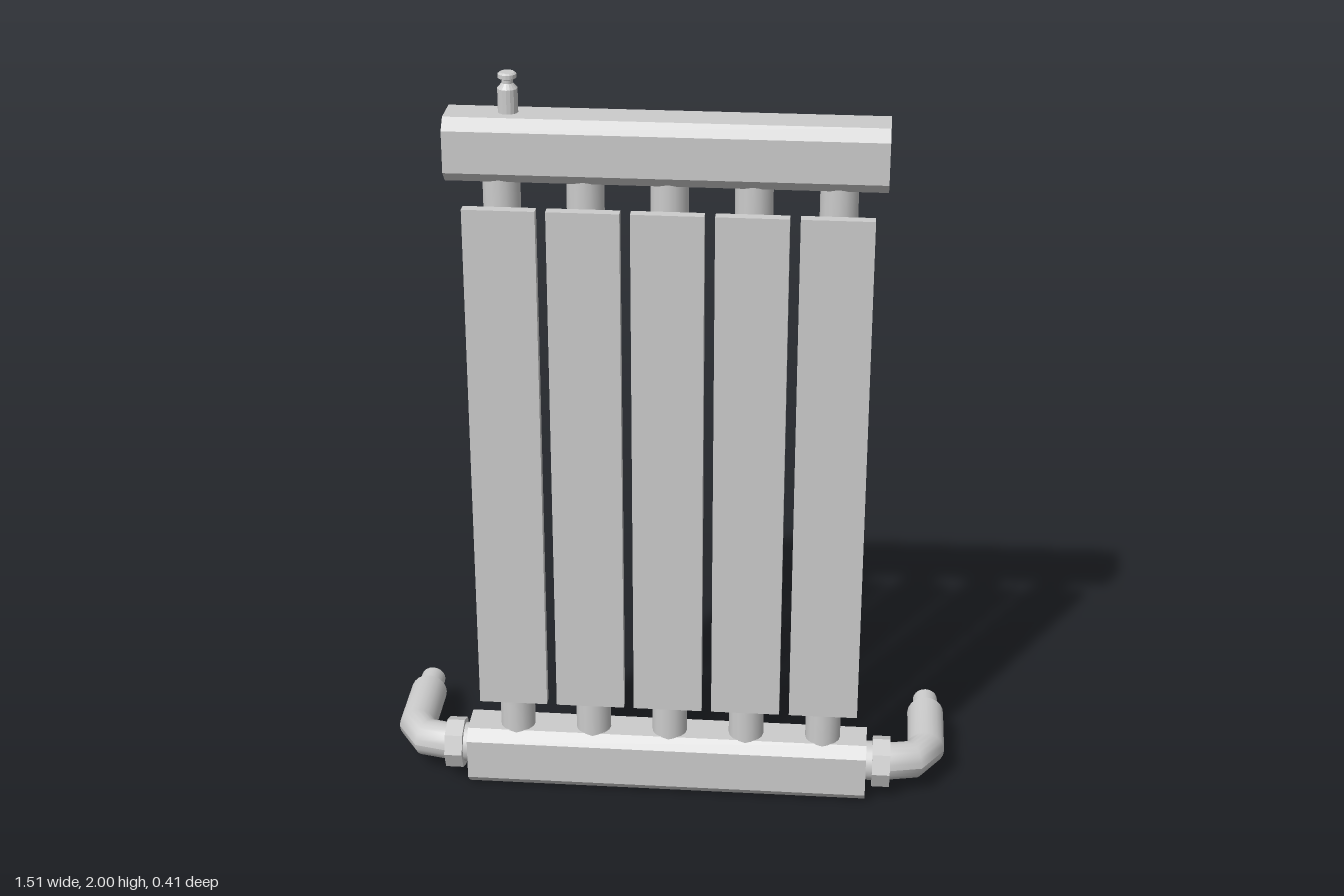
import * as THREE from 'three';

const grey = new THREE.MeshStandardMaterial({ color: 0xcccccc });
const flat = new THREE.MeshStandardMaterial({ color: 0xcccccc, flatShading: true });
const open = new THREE.MeshStandardMaterial({ color: 0xcccccc, side: THREE.DoubleSide });

function add(parent, name, geometry, material, x = 0, y = 0, z = 0) {
  const mesh = new THREE.Mesh(geometry, material);
  mesh.name = name;
  mesh.position.set(x, y, z);
  parent.add(mesh);
  return mesh;
}

// Octagonal bar along x with chamfered long edges
function headerGeometry(length, height, depth, c) {
  const w = depth / 2, h = height / 2;
  const shape = new THREE.Shape([
    [-w + c, -h], [w - c, -h], [w, -h + c], [w, h - c],
    [w - c, h], [-w + c, h], [-w, h - c], [-w, -h + c],
  ].map(([x, y]) => new THREE.Vector2(x, y)));
  return new THREE.ExtrudeGeometry(shape, { depth: length, bevelEnabled: false })
    .translate(0, 0, -length / 2).rotateY(Math.PI / 2);
}

// Pipe swept through mitred rings, each given by its outer and inner point in the xz plane
function mitredPipe(rings, radius, sides) {
  const pos = [], index = [];
  rings.forEach(([ox, oz, ix, iz], r) => {
    for (let s = 0; s <= sides; s++) {
      const a = (s / sides) * Math.PI * 2, c = Math.cos(a) / 2;
      pos.push((ox + ix) / 2 + (ox - ix) * c, radius * Math.sin(a), (oz + iz) / 2 + (oz - iz) * c);
      if (r > 0 && s < sides) {
        const q = r * (sides + 1) + s, p = q - sides - 1;
        index.push(p, p + 1, q, p + 1, q + 1, q);
      }
    }
  });
  const g = new THREE.BufferGeometry();
  g.setAttribute('position', new THREE.Float32BufferAttribute(pos, 3));
  g.setIndex(index);
  g.computeVertexNormals();
  return g;
}

// Valve nut, elbow and open pipe stub on one side (1 = left, -1 = right)
function connection(side) {
  const g = new THREE.Group();
  g.name = side > 0 ? 'leftConnection' : 'rightConnection';
  const along = (r, len, sides) => new THREE.CylinderGeometry(r, r, len, sides).rotateZ(Math.PI / 2);
  add(g, 'collar', along(0.053, 0.04, 20), grey, side * 0.55, 0.09, 0.12);
  add(g, 'nut', along(0.07, 0.048, 8), flat, side * 0.581, 0.09, 0.122);
  const bend = [
    [0.6, 0.171, 0.6, 0.069],
    [0.692, 0.15, 0.643, 0.06],
    [0.753, 0.055, 0.653, 0.04],
    [0.753, -0.135, 0.653, -0.135],
  ].map(([ox, oz, ix, iz]) => [side * ox, oz, side * ix, iz]);
  add(g, 'elbow', mitredPipe(bend, 0.05, 20), open, 0, 0.09, 0);
  add(g, 'elbowEnd', new THREE.CircleGeometry(0.05, 20).rotateY(Math.PI), grey, side * 0.703, 0.09, -0.135);
  add(g, 'pipeStub', new THREE.CylinderGeometry(0.034, 0.034, 0.07, 20, 1, true).rotateX(Math.PI / 2),
    open, side * 0.703, 0.09, -0.17);
  return g;
}

export function createModel() {
  const model = new THREE.Group();
  model.name = 'radiator';

  // Top and bottom headers
  add(model, 'bottomHeader', headerGeometry(1.08, 0.168, 0.15, 0.028), flat, 0, 0.084, 0.125);
  add(model, 'topHeader', headerGeometry(1.08, 0.162, 0.15, 0.028), flat, 0, 1.819, 0.125);

  // Upright tubes, each with a flat panel in front
  for (let i = 0; i < 5; i++) {
    const x = 0.007 + (i - 2) * 0.207;
    add(model, 'tube', new THREE.CylinderGeometry(0.047, 0.047, 1.62, 16), grey, x, 0.95, 0.13);
    add(model, 'panel', new THREE.BoxGeometry(0.181, 1.4, 0.028), grey, x, 0.975, 0.191);
  }

  // Bleed valve on the top header
  const profile = [[0, 1.89], [0.025, 1.89], [0.025, 1.96], [0.014, 1.973], [0.014, 1.982],
    [0.023, 1.986], [0.023, 1.996], [0.018, 2], [0, 2]].map(([r, y]) => new THREE.Vector2(r, y));
  add(model, 'bleedValve', new THREE.LatheGeometry(profile, 16), flat, -0.387, 0, 0.12);

  // Pipe connections at both ends of the bottom header
  model.add(connection(1), connection(-1));
  return model;
}
